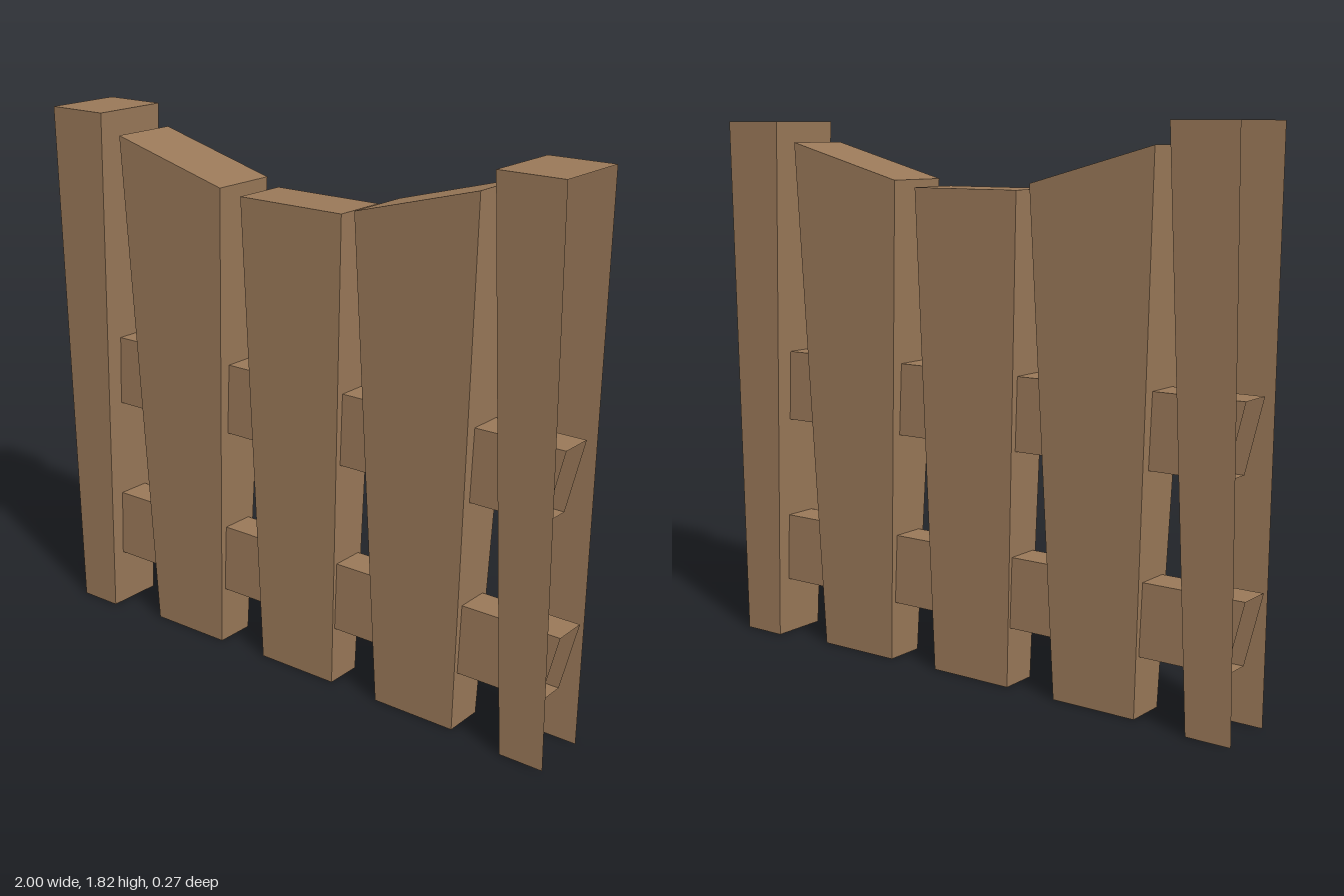
import * as THREE from 'three';

// Thin boards are open shells, so both sides show
const wood = new THREE.MeshStandardMaterial({ color: 0x997858, side: THREE.DoubleSide });
wood.name = 'brown wood';

// Shell from quads; each quad has four corners listed counter-clockwise from outside
function shell(name, quads) {
  const pos = [];
  for (const [a, b, c, d] of quads) pos.push(...a, ...b, ...c, ...a, ...c, ...d);
  const geo = new THREE.BufferGeometry();
  geo.setAttribute('position', new THREE.Float32BufferAttribute(pos, 3));
  geo.computeVertexNormals();
  const mesh = new THREE.Mesh(geo, wood);
  mesh.name = name;
  return mesh;
}

// Upright board: outline is [bottom left, bottom right, top right, top left],
// half depth grows from zBottom to zTop; the underside is open
function upright(name, outline, zBottom, zTop, openSide = 0) {
  const depth = [zBottom, zBottom, zTop, zTop];
  const f = outline.map(([x, y], i) => [x, y, depth[i]]);
  const b = outline.map(([x, y], i) => [x, y, -depth[i]]);
  const quads = [
    [f[0], f[1], f[2], f[3]],
    [b[1], b[0], b[3], b[2]],
    [f[3], f[2], b[2], b[3]],
  ];
  if (openSide <= 0) quads.push([f[1], b[1], b[2], f[2]]);
  if (openSide >= 0) quads.push([b[0], f[0], f[3], b[3]]);
  return shell(name, quads);
}

// Mirror an outline to the -x side, keeping its corner order
function mirror([bl, br, tr, tl]) {
  return [br, bl, tl, tr].map(([x, y]) => [-x, y]);
}

// Cross rail with open, slanted ends
function rail(name, y0, y1, xBottom, xTop) {
  const z = 0.058;
  const o = [[-xBottom, y0], [xBottom, y0], [xTop, y1], [-xTop, y1]];
  const f = o.map(([x, y]) => [x, y, z]);
  const b = o.map(([x, y]) => [x, y, -z]);
  return shell(name, [
    [f[0], f[1], f[2], f[3]],
    [b[1], b[0], b[3], b[2]],
    [f[3], f[2], b[2], b[3]],
    [b[0], b[1], f[1], f[0]],
  ]);
}

export function createModel() {
  const fence = new THREE.Group();
  fence.name = 'fence';

  // Centre board
  fence.add(upright('centreBoard', [[-0.15, 0], [0.15, 0], [0.2, 1.61], [-0.2, 1.61]], 0.065, 0.094));

  // Boards with sloping tops, and end posts open on the outer side
  const board = [[0.335, 0], [0.635, 0], [0.703, 1.75], [0.265, 1.632]];
  const post = [[0.833, 0], [0.987, 0], [0.987, 1.82], [0.763, 1.82]];
  for (const [side, s] of [['left', 1], ['right', -1]]) {
    const place = (o) => (s > 0 ? o : mirror(o));
    fence.add(upright(side + 'Board', place(board), 0.07, 0.116));
    fence.add(upright(side + 'Post', place(post), 0.1, 0.137, s));
  }

  // Cross rails
  fence.add(rail('lowerRail', 0.2, 0.437, 0.94, 1));
  fence.add(rail('upperRail', 0.785, 1.027, 0.925, 0.985));
  return fence;
}
